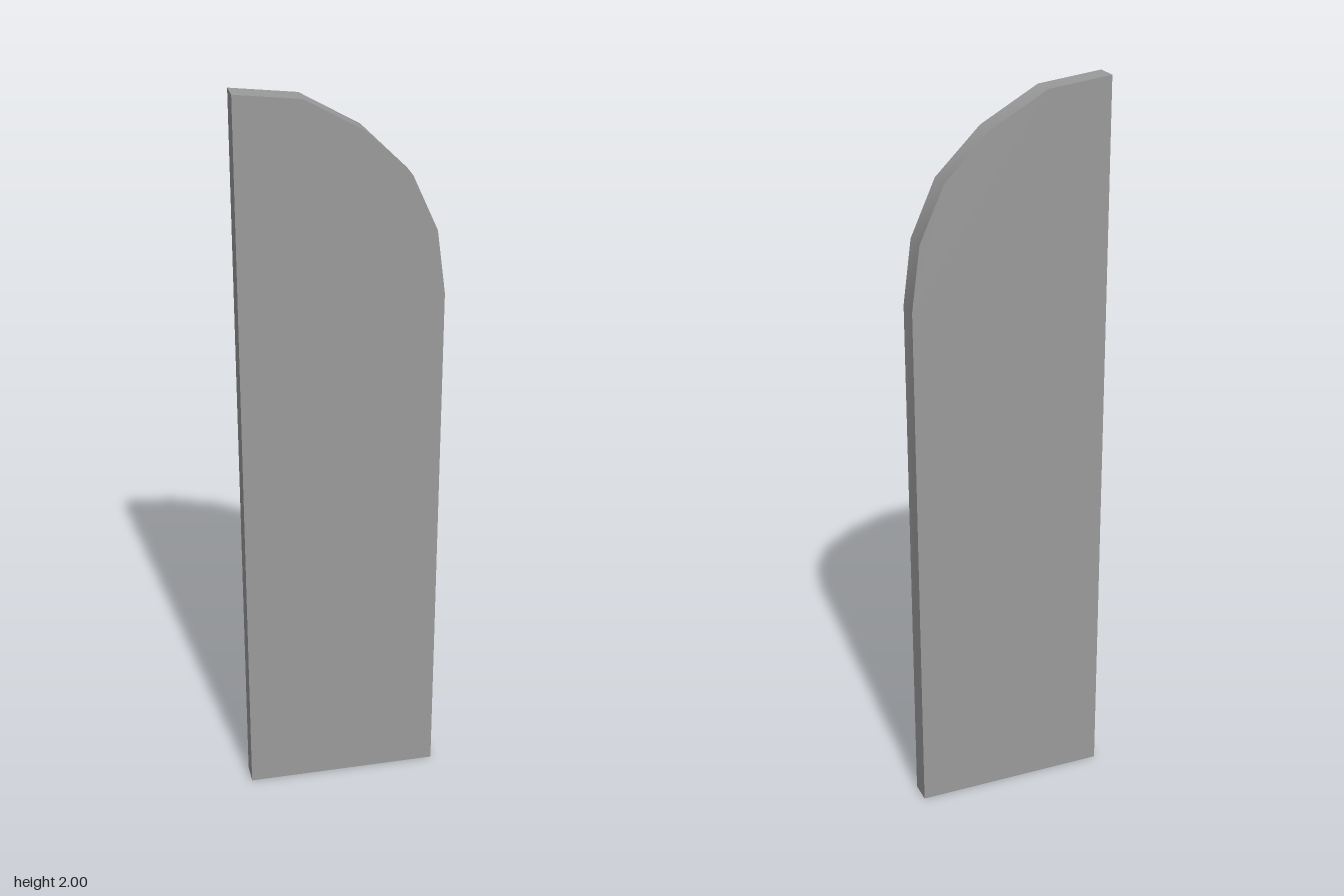
import * as THREE from 'three';
import { toCreasedNormals } from 'three/addons/utils/BufferGeometryUtils.js';

export function createModel() {
  const group = new THREE.Group();
  const halfWidth = 0.265, thickness = 0.063;

  // Outline: straight plank whose top sweeps down to one side
  const outline = [
    [-halfWidth, 0], [halfWidth, 0],
    [halfWidth, 1.46], [0.242, 1.63], [0.176, 1.776],
    [0.057, 1.894], [-0.095, 1.98], [-halfWidth, 2],
  ].map(([x, y]) => new THREE.Vector2(x, y));

  const plank = new THREE.ExtrudeGeometry(new THREE.Shape(outline), {
    depth: thickness, bevelEnabled: false,
  });
  plank.translate(0, 0, -thickness / 2);

  // Smooth along the curved edge, sharp at the faces and corners
  const panel = new THREE.Mesh(
    toCreasedNormals(plank, THREE.MathUtils.degToRad(40)),
    new THREE.MeshStandardMaterial({ color: 0x9b9b9b }),
  );
  panel.name = 'curvedTopPanel';
  group.add(panel);
  return group;
}
